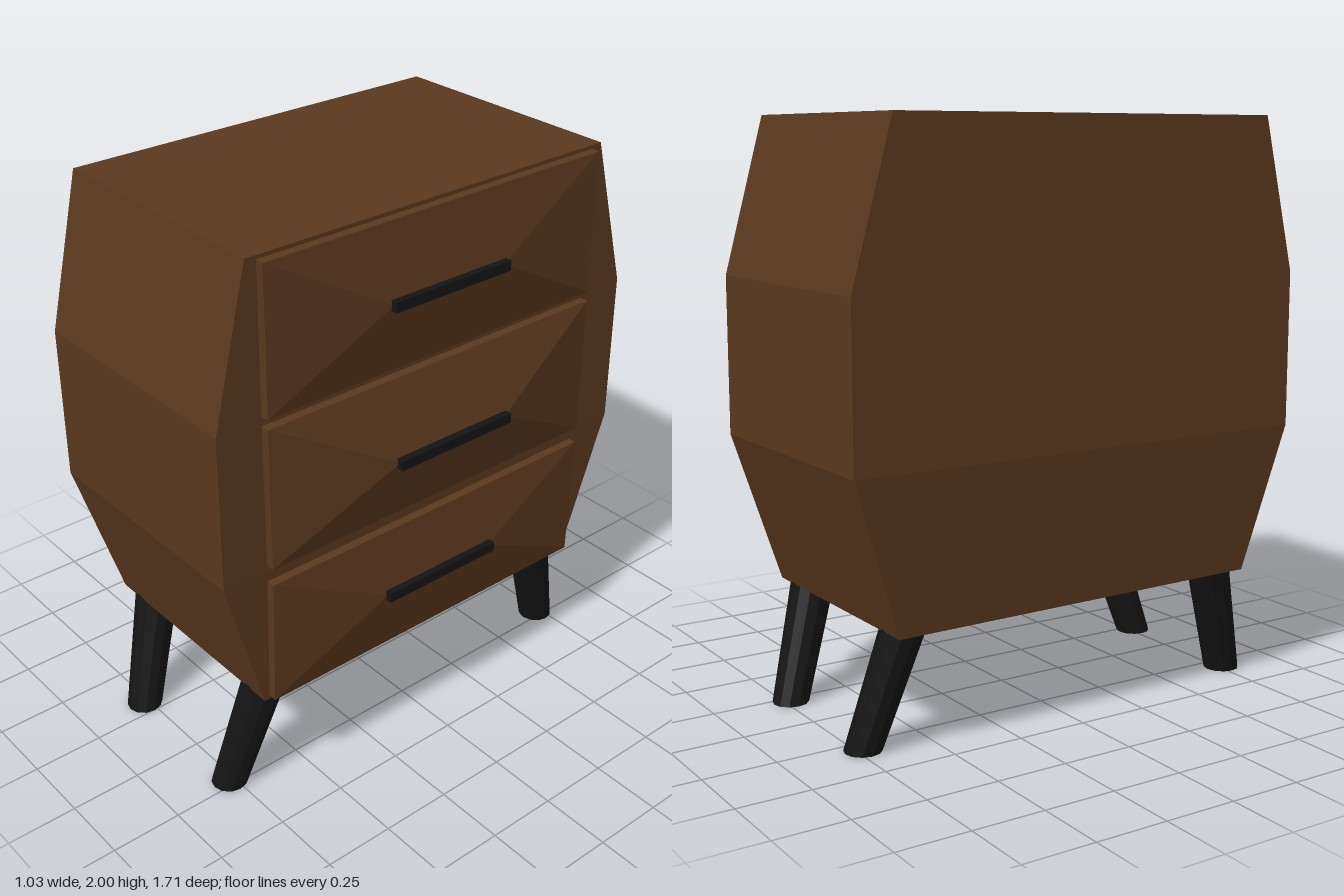
import * as THREE from 'three';

const wood = new THREE.MeshStandardMaterial({ color: 0x5a381e, flatShading: true });
const black = new THREE.MeshStandardMaterial({ color: 0x141414, flatShading: true });

// Closed solid through four-cornered rings, each counterclockwise about the loft direction
function loft(rings) {
  const pos = [];
  const quad = (a, b, c, d) => [a, b, c, a, c, d].forEach((p) => pos.push(...p));
  for (let i = 0; i < rings.length - 1; i++) {
    for (let j = 0; j < 4; j++) {
      const k = (j + 1) % 4;
      quad(rings[i][j], rings[i][k], rings[i + 1][k], rings[i + 1][j]);
    }
  }
  quad(...[...rings[0]].reverse());
  quad(...rings[rings.length - 1]);
  const geo = new THREE.BufferGeometry();
  geo.setAttribute('position', new THREE.Float32BufferAttribute(pos, 3));
  geo.computeVertexNormals();
  return geo;
}

function add(parent, name, geo, material) {
  const mesh = new THREE.Mesh(geo, material);
  mesh.name = name;
  parent.add(mesh);
  return mesh;
}

// Horizontal ring; the front and back edges may differ in height
const level = (x0, x1, z0, z1, yBack, yFront = yBack) => [
  [x0, yFront, z1], [x1, yFront, z1], [x1, yBack, z0], [x0, yBack, z0],
];

// Upright ring facing +x; the lower edge may lean inwards
const upright = (x, y0, y1, z0, z1, lean = 0) => [
  [x - lean, y0, z1], [x - lean, y0, z0], [x, y1, z0], [x, y1, z1],
];

// Leg: tapered cylinder sheared so both ends stay level
function legGeometry(top, bottom) {
  const h = 0.43;
  const geo = new THREE.CylinderGeometry(0.077, 0.063, h, 12);
  const p = geo.attributes.position;
  for (let i = 0; i < p.count; i++) {
    const t = p.getY(i) / h + 0.5;
    p.setXYZ(i,
      p.getX(i) + THREE.MathUtils.lerp(bottom[0], top[0], t),
      t * h,
      p.getZ(i) + THREE.MathUtils.lerp(bottom[1], top[1], t));
  }
  geo.computeVertexNormals();
  return geo;
}

export function createModel() {
  const model = new THREE.Group();
  model.name = 'bedsideCabinet';

  // Faceted carcass
  add(model, 'cabinetBody', loft([
    level(-0.47, 0.37, -0.68, 0.71, 0.4, 0.415),
    level(-0.52, 0.38, -0.855, 0.855, 0.93),
    level(-0.52, 0.38, -0.855, 0.855, 1.47),
    level(-0.52, 0.38, -0.71, 0.73, 2),
  ]), wood);

  // Drawers: thin slab rising to a ridge that carries the handle
  const drawers = [
    { name: 'topDrawer', y0: 1.487, y1: 1.987, ridge: 0.455, back: 0.38, lean: 0 },
    { name: 'middleDrawer', y0: 0.953, y1: 1.453, ridge: 0.492, back: 0.38, lean: 0 },
    { name: 'bottomDrawer', y0: 0.428, y1: 0.892, ridge: 0.445, back: 0.379, lean: 0.01 },
  ];
  for (const d of drawers) {
    const drawer = new THREE.Group();
    drawer.name = d.name;
    const mid = (d.y0 + d.y1) / 2 + (d.lean ? 0.007 : 0);
    add(drawer, 'drawerFront', loft([
      upright(d.back - 0.01, d.y0, d.y1, -0.67, 0.69, d.lean),
      upright(d.back + 0.031, d.y0, d.y1, -0.67, 0.69, d.lean),
      upright(d.ridge, mid - 0.004, mid + 0.004, -0.22, 0.25),
    ]), wood);
    const handle = add(drawer, 'handle', new THREE.BoxGeometry(0.05, 0.035, 0.475), black);
    handle.position.set(d.ridge - 0.003, mid, 0.015);
    model.add(drawer);
  }

  // Splayed legs
  for (const [xTop, xBottom] of [[-0.37, -0.31], [0.277, 0.22]]) {
    for (const [zTop, zBottom] of [[0.637, 0.765], [-0.6, -0.728]]) {
      add(model, 'leg', legGeometry([xTop, zTop], [xBottom, zBottom]), black);
    }
  }
  return model;
}
